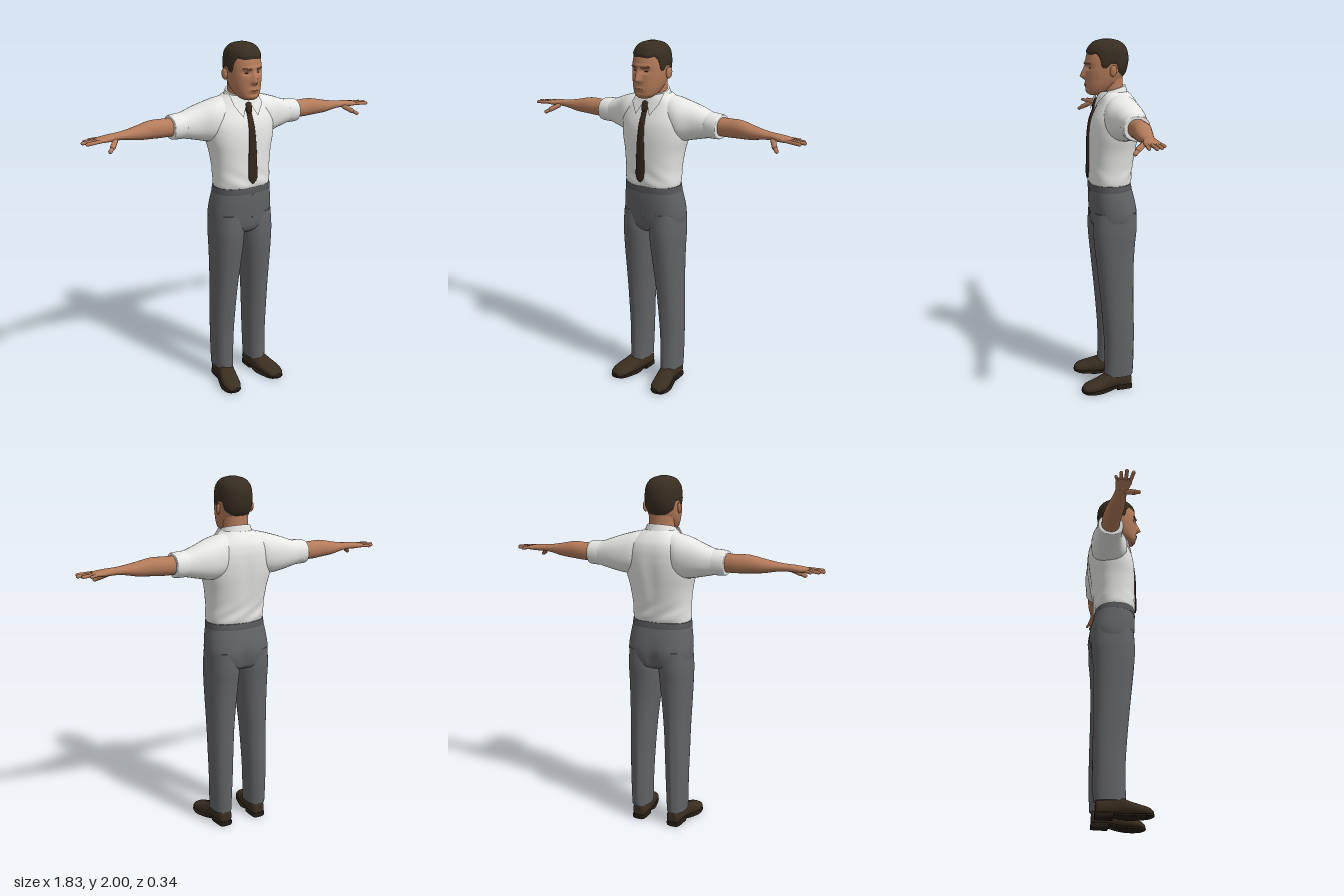
import * as THREE from 'three';

const mat = (name, color, side = THREE.FrontSide) => Object.assign(new THREE.MeshStandardMaterial({ color, side }), { name });
const skin = mat('skin', 0xb47b5a), hairMat = mat('hair', 0x382d20), shirt = mat('shirt', 0xe8e8e6, THREE.DoubleSide);
const tieMat = mat('tie', 0x35271c), cloth = mat('trousers', 0x626366), leather = mat('shoe leather', 0x3a2e20);
const lipMat = mat('lips', 0x99614a), soleMat = mat('sole', 0x241c14), bandMat = mat('waistband', 0x56575a);

const gauss = (d, w) => Math.exp(-(d * d) / (w * w));
const AXES = { x: ['y', 'z'], y: ['z', 'x'], z: ['x', 'y'] };

// Smooth surface through cross-sections [position, aLo, aHi, bLo, bHi] along an axis
function sampler(rings, axis, power = 2, warp) {
  const [a, b] = AXES[axis], n = rings.length - 1;
  return (t, ang) => {
    const i = Math.min(Math.floor(t * n), n - 1), f = t * n - i;
    const p = [-1, 0, 1, 2].map(k => rings[Math.max(0, Math.min(n, i + k))]);
    const r = p[1].map((v, k) => v + 0.5 * f * (p[2][k] - p[0][k]
      + f * (2 * p[0][k] - 5 * v + 4 * p[2][k] - p[3][k] + f * (3 * (v - p[2][k]) + p[3][k] - p[0][k]))));
    const c = Math.cos(ang), s = Math.sin(ang), e = 2 / power, v = new THREE.Vector3();
    v[axis] = r[0];
    v[a] = (r[1] + r[2]) / 2 + (r[2] - r[1]) / 2 * Math.sign(c) * Math.abs(c) ** e;
    v[b] = (r[3] + r[4]) / 2 + (r[4] - r[3]) / 2 * Math.sign(s) * Math.abs(s) ** e;
    if (warp) warp(v);
    return v;
  };
}

// Closed-round skin over a sampler, with flat ends if capped
function skinOver(point, rows, segs, capped = true) {
  const pos = [], idx = [];
  for (let i = 0; i <= rows; i++)
    for (let j = 0; j < segs; j++) pos.push(...point(i / rows, j / segs * Math.PI * 2).toArray());
  for (let i = 0; i < rows; i++)
    for (let j = 0; j < segs; j++) {
      const p = i * segs + j, q = i * segs + (j + 1) % segs;
      idx.push(p, q, q + segs, p, q + segs, p + segs);
    }
  if (capped) for (const row of [0, rows]) {
    const base = pos.length / 3, mid = new THREE.Vector3();
    for (let j = 0; j < segs; j++) {
      const v = point(row / rows, j / segs * Math.PI * 2);
      mid.addScaledVector(v, 1 / segs);
      pos.push(...v.toArray());
    }
    pos.push(...mid.toArray());
    for (let j = 0; j < segs; j++) {
      const p = base + j, q = base + (j + 1) % segs;
      idx.push(...(row ? [p, q, base + segs] : [q, p, base + segs]));
    }
  }
  const g = new THREE.BufferGeometry();
  g.setAttribute('position', new THREE.Float32BufferAttribute(pos, 3));
  g.setIndex(idx);
  g.computeVertexNormals();
  return g;
}
const loft = (rings, axis, power, rows = 30, segs = 32, warp) => skinOver(sampler(rings, axis, power, warp), rows, segs);
const sym = (y, zLo, zHi, w) => [y, zLo, zHi, -w, w];

// Rounded rod between two points
function rod(p, q, r) {
  const a = new THREE.Vector3(...p), d = new THREE.Vector3(...q).sub(a), len = d.length();
  const g = new THREE.CapsuleGeometry(r, len - r, 5, 10);
  g.applyQuaternion(new THREE.Quaternion().setFromUnitVectors(new THREE.Vector3(0, 1, 0), d.clone().normalize()));
  return g.translate(...a.addScaledVector(d, 0.5).toArray());
}
function mirrored(g) {
  const m = g.clone().scale(-1, 1, 1), ix = m.index.array;
  for (let i = 0; i < ix.length; i += 3) [ix[i], ix[i + 1]] = [ix[i + 1], ix[i]];
  return m;
}

export function createModel() {
  const model = new THREE.Group();
  model.name = 'man';
  const add = (name, g, m) => {
    const mesh = new THREE.Mesh(g, m);
    mesh.name = name;
    model.add(mesh);
  };
  const pair = (name, g, m) => { add(name + 'Left', g, m); add(name + 'Right', mirrored(g), m); };

  // Head with sculpted face
  const face = v => {
    if (v.z < 0.03) return;
    const x = Math.abs(v.x), y = v.y;
    const nose = y > 1.803 ? Math.max(0, (1.872 - y) / 0.069) : Math.max(0, (y - 1.782) / 0.021);
    v.z += 0.03 * nose * gauss(x, 0.011 + 0.006 * nose) - 0.013 * gauss(x - 0.036, 0.02) * gauss(y - 1.852, 0.011)
      + 0.005 * gauss(y - 1.877, 0.009) * gauss(x, 0.06) + 0.005 * gauss(y - 1.757, 0.009) * gauss(x, 0.024)
      - 0.004 * gauss(y - 1.737, 0.007) * gauss(x, 0.03);
  };
  const head = sampler([sym(1.704, 0.05, 0.1, 0.03), sym(1.72, 0, 0.117, 0.055), sym(1.75, -0.04, 0.121, 0.072),
    sym(1.785, -0.075, 0.122, 0.083), sym(1.825, -0.095, 0.122, 0.09), sym(1.87, -0.107, 0.12, 0.092),
    sym(1.91, -0.108, 0.115, 0.09), sym(1.95, -0.097, 0.1, 0.082), sym(1.98, -0.066, 0.07, 0.058),
    sym(1.993, -0.02, 0.025, 0.02)], 'y', 2.15, face);
  add('head', skinOver(head, 72, 96), skin);
  add('neck', loft([sym(1.64, -0.095, 0.035, 0.074), sym(1.73, -0.085, 0.036, 0.07), sym(1.82, -0.085, 0.04, 0.07)], 'y', 2, 8), skin);

  // Hair shell above a hairline that dips into sideburns and nape
  const line = [[0, 1.922], [0.5, 1.917], [0.9, 1.925], [1.15, 1.9], [1.28, 1.848], [1.5, 1.848], [1.62, 1.872],
    [1.9, 1.87], [2.1, 1.825], [2.6, 1.8], [3.2, 1.798]];
  const hairline = ang => {
    const u = Math.abs(ang > Math.PI ? ang - 2 * Math.PI : ang);
    const k = line.findIndex(p => p[0] > u), [p, q] = [line[k - 1], line[k]];
    return p[1] + (q[1] - p[1]) * (u - p[0]) / (q[0] - p[0]);
  };
  const hair = (t, ang) => {
    let lo = 0, hi = 1;
    for (let k = 0; k < 16; k++) {
      const m = (lo + hi) / 2;
      if (head(m, ang).y < hairline(ang)) lo = m; else hi = m;
    }
    const v = head(lo + (1 - lo) * t, ang), s = 0.995 + 0.061 * Math.min(1, t * 9);
    return v.set(v.x * s, 1.87 + (v.y - 1.87) * s, v.z * s);
  };
  add('hair', skinOver(hair, 28, 96), hairMat);

  // Ears, brows, eyes, mouth
  pair('ear', new THREE.SphereGeometry(1, 16, 12).scale(0.01, 0.031, 0.019).rotateY(-0.35).rotateX(-0.15).translate(0.1, 1.836, -0.014), skin);
  pair('brow', rod([0.018, 1.87, 0.123], [0.056, 1.873, 0.103], 0.0045), lipMat);
  pair('eye', new THREE.SphereGeometry(1, 12, 8).scale(0.011, 0.003, 0.004).rotateY(0.25).translate(0.036, 1.85, 0.1025), hairMat);
  add('mouth', new THREE.SphereGeometry(1, 16, 8).scale(0.025, 0.003, 0.006).translate(0, 1.757, 0.122), lipMat);

  // Shirt body with soft folds above the waist
  const folds = v => {
    const k = gauss(v.y - 1.27, 0.06) * 0.003 * Math.sin(v.x * 45 + v.y * 70);
    v.z += Math.sign(v.z) * k;
    if (v.z < 0) v.z += 0.008 * gauss(v.x, 0.03) * gauss(v.y - 1.48, 0.12);
  };
  add('shirtBody', loft([sym(1.205, -0.115, 0.098, 0.158), sym(1.235, -0.127, 0.108, 0.166), sym(1.3, -0.133, 0.107, 0.166),
    sym(1.4, -0.15, 0.107, 0.177), sym(1.48, -0.163, 0.106, 0.196), sym(1.54, -0.169, 0.1, 0.203), sym(1.58, -0.17, 0.09, 0.203),
    sym(1.62, -0.168, 0.073, 0.19), sym(1.66, -0.158, 0.054, 0.162), sym(1.695, -0.135, 0.043, 0.12),
    sym(1.72, -0.11, 0.035, 0.085)], 'y', 2.35, 50, 64, folds), shirt);
  // Sleeves and rolled cuffs
  pair('sleeve', loft([[0.06, 1.5, 1.715, -0.13, 0.02], [0.12, 1.48, 1.707, -0.157, 0.042], [0.18, 1.472, 1.692, -0.164, 0.045],
    [0.25, 1.486, 1.67, -0.162, 0.014], [0.32, 1.502, 1.645, -0.152, -0.003], [0.385, 1.518, 1.63, -0.14, -0.014]], 'x', 2.25, 24), shirt);
  pair('cuff', loft([[0.33, 1.512, 1.636, -0.143, -0.009], [0.337, 1.506, 1.642, -0.149, -0.004],
    [0.395, 1.507, 1.638, -0.147, -0.004], [0.404, 1.513, 1.633, -0.141, -0.01]], 'x', 2.2, 14), shirt);

  // Collar band rising to the back, and folded points
  add('collarBand', loft([sym(1.665, -0.118, 0.062, 0.105), sym(1.7, -0.108, 0.056, 0.09), sym(1.73, -0.1, 0.05, 0.079)],
    'y', 2, 8, 40, v => { v.y -= 0.25 * v.z; }), shirt);
  const wing = new THREE.BufferGeometry();
  wing.setAttribute('position', new THREE.Float32BufferAttribute([0.006, 1.69, 0.06, 0.046, 1.612, 0.09,
    0.09, 1.675, 0.064, 0.088, 1.728, 0.01, 0.05, 1.722, 0.05], 3));
  wing.setIndex([0, 1, 2, 0, 2, 4, 4, 2, 3]);
  wing.computeVertexNormals();
  pair('collarPoint', wing, shirt);

  // Tie and knot
  add('tie', loft([sym(1.243, 0.109, 0.118, 0.004), sym(1.275, 0.106, 0.12, 0.027), sym(1.36, 0.102, 0.118, 0.027),
    sym(1.46, 0.1, 0.117, 0.023), sym(1.56, 0.088, 0.106, 0.018), sym(1.635, 0.058, 0.08, 0.013)], 'y', 2.6, 30, 20), tieMat);
  add('tieKnot', loft([sym(1.63, 0.055, 0.083, 0.012), sym(1.645, 0.05, 0.085, 0.017), sym(1.675, 0.04, 0.074, 0.021),
    sym(1.684, 0.04, 0.064, 0.017)], 'y', 2.4, 10, 20), tieMat);

  // Arms, palms, fingers
  pair('arm', loft([[0.35, 1.525, 1.622, -0.125, -0.025], [0.45, 1.525, 1.623, -0.128, -0.027], [0.52, 1.529, 1.624, -0.122, -0.023],
    [0.6, 1.535, 1.608, -0.11, -0.02], [0.67, 1.548, 1.595, -0.095, -0.024], [0.72, 1.552, 1.59, -0.088, -0.027],
    [0.755, 1.551, 1.588, -0.09, -0.02], [0.8, 1.553, 1.582, -0.096, -0.011], [0.83, 1.556, 1.576, -0.092, -0.014],
    [0.838, 1.562, 1.571, -0.085, -0.02]], 'x', 2.15, 45, 28), skin);
  [[-0.086, 0.856, -0.1, 0.008], [-0.066, 0.892, -0.077, 0.009], [-0.044, 0.911, -0.05, 0.0095], [-0.022, 0.9, -0.014, 0.0095]]
    .forEach(([z, x, zTip, r], i) => pair('finger' + (i + 1), rod([0.81, 1.568, z], [x, 1.563, zTip], r), skin));
  pair('thumb', rod([0.735, 1.56, -0.035], [0.775, 1.532, 0.012], 0.014), skin);
  pair('thumbTip', rod([0.762, 1.54, 0], [0.797, 1.518, 0.028], 0.0105), skin);

  // Trousers: seat, waistband, fly and creased legs
  add('trouserSeat', loft([sym(0.945, -0.1, 0.06, 0.09), sym(0.965, -0.138, 0.082, 0.15), sym(1.0, -0.153, 0.094, 0.178),
    sym(1.06, -0.159, 0.1, 0.185), sym(1.14, -0.143, 0.104, 0.177), sym(1.215, -0.122, 0.102, 0.164)], 'y', 2.4, 30, 56,
    v => { if (v.z < 0) v.z += 0.016 * gauss(v.x, 0.025) * gauss(v.y - 1, 0.08); }), cloth);
  add('waistband', loft([sym(1.183, -0.131, 0.106, 0.17), sym(1.2, -0.129, 0.106, 0.169), sym(1.219, -0.125, 0.105, 0.167)], 'y', 2.4, 4, 56), bandMat);
  add('fly', rod([0.008, 1.18, 0.101], [0.008, 1.04, 0.096], 0.004), cloth);
  pair('trouserLeg', loft([[0.088, -0.126, 0.036, 0.058, 0.168], [0.16, -0.129, 0.034, 0.056, 0.17], [0.3, -0.131, 0.034, 0.05, 0.173],
    [0.45, -0.13, 0.045, 0.043, 0.175], [0.6, -0.129, 0.06, 0.034, 0.176], [0.75, -0.131, 0.077, 0.019, 0.18],
    [0.87, -0.138, 0.09, 0.006, 0.183], [0.96, -0.147, 0.095, 0, 0.184], [1.06, -0.145, 0.09, 0, 0.178]], 'y', 2.3, 50, 48,
    v => { v.z += Math.sign(v.z + 0.045) * 0.006 * gauss(v.x - 0.112 + 0.02 * v.y, 0.012) * gauss(v.y - 0.35, 0.4); }), cloth);

  // Shoes with soles and heels
  pair('shoe', loft([[-0.12, 0.088, 0.132, 0.02, 0.075], [-0.107, 0.072, 0.148, 0.008, 0.1], [-0.05, 0.066, 0.156, 0.008, 0.115],
    [0, 0.068, 0.164, 0.008, 0.115], [0.05, 0.076, 0.183, 0.006, 0.09], [0.1, 0.088, 0.197, 0.006, 0.07],
    [0.15, 0.105, 0.192, 0.006, 0.054], [0.174, 0.13, 0.168, 0.012, 0.035]], 'z', 2.3, 36, 28), leather);
  pair('sole', loft([[-0.03, 0.075, 0.16, 0.014, 0.03], [0.03, 0.072, 0.18, 0.002, 0.018], [0.09, 0.084, 0.2, 0, 0.016],
    [0.15, 0.103, 0.195, 0.002, 0.018], [0.177, 0.133, 0.168, 0.008, 0.02]], 'z', 4, 24, 24), soleMat);
  pair('heel', loft([[-0.122, 0.095, 0.127, 0, 0.03], [-0.11, 0.072, 0.15, 0, 0.03], [-0.03, 0.068, 0.16, 0, 0.03]], 'z', 6, 12, 24), soleMat);

  return model;
}
